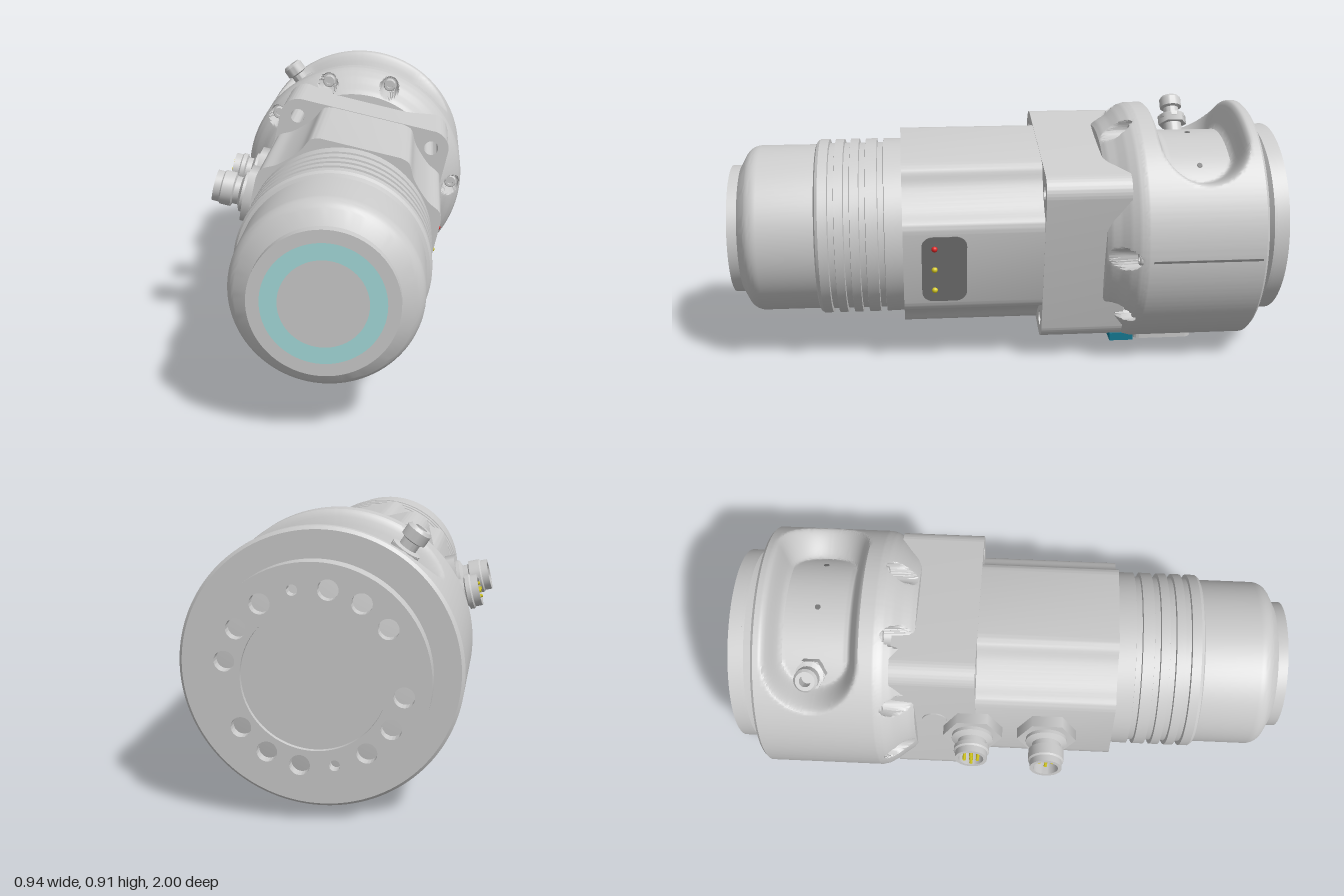
import * as THREE from 'three';
import { toCreasedNormals } from 'three/addons/utils/BufferGeometryUtils.js';

const DEG = Math.PI / 180, TILT = -13 * DEG;
const mat = (color = 0xcccccc) => new THREE.MeshStandardMaterial({ color });
const GREY = mat(), DARK = mat(0x777777), AQUA = mat(0xa5dddc), TEAL = mat(0x157a94);
const RED = mat(0xdd2222), YELLOW = mat(0xd8cc22);

function add(parent, name, geo, material = GREY, x = 0, y = 0, z = 0) {
  const m = new THREE.Mesh(geo, material);
  m.name = name;
  m.position.set(x, y, z);
  parent.add(m);
  return m;
}

// profile of [radius, height] from bottom to top, turned about y
const lathe = (pts, seg = 64) => toCreasedNormals(
  new THREE.LatheGeometry(pts.map(p => new THREE.Vector2(...p)), seg), 0.5);
const latheZ = (pts, seg = 96) => lathe(pts, seg).rotateX(Math.PI / 2);
const latheX = (pts, seg = 32) => lathe(pts, seg).rotateZ(-Math.PI / 2);
const extrude = (shape, depth) => toCreasedNormals(
  new THREE.ExtrudeGeometry(shape, { depth, bevelEnabled: false, curveSegments: 20 }), 0.5);

// group whose +x axis points outward at an angle round the main axis
function spoke(parent, name, angle, z) {
  const g = new THREE.Group();
  g.name = name;
  g.rotation.z = angle;
  g.position.z = z;
  parent.add(g);
  return g;
}

function circleHole(x, y, r) {
  const p = new THREE.Path();
  p.absarc(x, y, r, 0, Math.PI * 2, true);
  return p;
}

function roundedRect(w, h, r) {
  const s = new THREE.Shape(), a = w / 2 - r, b = h / 2 - r;
  s.absarc(a, b, r, 0, Math.PI / 2);
  s.absarc(-a, b, r, Math.PI / 2, Math.PI);
  s.absarc(-a, -b, r, Math.PI, Math.PI * 1.5);
  s.absarc(a, -b, r, Math.PI * 1.5, Math.PI * 2);
  s.closePath();
  return s;
}

// square body section with scooped corners
function bodyShape() {
  const corner = new THREE.SplineCurve([[.33, .14], [.317, .175], [.265, .205], [.205, .265], [.175, .317], [.14, .33]]
    .map(p => new THREE.Vector2(...p))).getPoints(24);
  const pts = [];
  for (let i = 0; i < 4; i++)
    for (const p of corner) pts.push(p.clone().rotateAround(new THREE.Vector2(), i * Math.PI / 2));
  return new THREE.Shape(pts);
}

const SCREWS = [69, 105, 141, 177, 248, 284, 320, 356].map(a => a * DEG);
const SCREW_R = 0.404;

// round head: a fine lathe with the top slot and screw pockets pressed in
function headGeometry() {
  const profile = [[.25, -.9], [.435, -.9], [.445, -.89], [.445, -.47], [.438, -.445], [.42, -.415],
    [.395, -.385], [.375, -.355], [.36, -.34], [.28, -.335]];
  const pts = [];
  profile.forEach(([r, z], i) => {
    if (i === 0) return pts.push(new THREE.Vector2(r, z));
    const [r0, z0] = profile[i - 1];
    const n = i === 1 ? 1 : Math.ceil(Math.hypot(r - r0, z - z0) / 0.008);
    for (let k = 1; k <= n; k++) pts.push(new THREE.Vector2(r0 + (r - r0) * k / n, z0 + (z - z0) * k / n));
  });
  const geo = new THREE.LatheGeometry(pts, 360).rotateX(Math.PI / 2);
  const p = geo.attributes.position;
  for (let i = 0; i < p.count; i++) {
    let x = p.getX(i), y = p.getY(i), z = p.getZ(i);
    const r = Math.hypot(x, y), a = Math.atan2(y, x);
    if (z < -.48 && z > -.895 && r > .4) {
      const s = Math.max(Math.abs(a - 87 * DEG) * .37 - .2, 0);
      const t = THREE.MathUtils.smoothstep(Math.hypot(s, z + .695), .115, .17);
      const k = (.337 + (r - .337) * t) / r;
      x *= k; y *= k;
    }
    if (z > -.475)
      for (const b of SCREWS) {
        const d = Math.hypot(x - SCREW_R * Math.cos(b), y - SCREW_R * Math.sin(b));
        if (d < .038) z = Math.min(z, THREE.MathUtils.lerp(-.47, z, THREE.MathUtils.smoothstep(d, .03, .038)));
      }
    p.setXYZ(i, x, y, z);
  }
  return toCreasedNormals(geo, 0.7);
}

function addConnector(parent, z, length) {
  const g = spoke(parent, 'connector', Math.PI + TILT, z);
  add(g, 'connectorNut', new THREE.CylinderGeometry(.108, .108, .045, 6).rotateZ(-Math.PI / 2), GREY, .35);
  add(g, 'connectorSocket', latheX([[.075, 0], [.075, .02], [.052, .03], [.052, .05], [.064, .055], [.064, length - .03],
    [.058, length - .025], [.058, length], [.045, length], [.045, .05], [0, .05]]), GREY, .365);
  for (let i = 0; i < 5; i++) {
    const r = i ? .024 : 0, a = i * Math.PI / 2;
    add(g, 'connectorPin', new THREE.CylinderGeometry(.006, .006, .06, 8).rotateZ(-Math.PI / 2), YELLOW,
      .44, r * Math.cos(a), r * Math.sin(a));
  }
}

export function createModel() {
  const model = new THREE.Group();
  model.name = 'toolSpindle';
  const axis = new THREE.Group();
  axis.name = 'axisAssembly';
  axis.position.set(.025, .465, 0);
  model.add(axis);
  const tilted = new THREE.Group();
  tilted.name = 'squareBody';
  tilted.rotation.z = TILT;
  axis.add(tilted);

  // front barrel with grooved rings and rounded nose
  const barrel = [[.323, .36]];
  for (const z of [.455, .52, .575, .63])
    barrel.push([.325, z - .012], [.31, z - .01], [.31, z + .01], [.325, z + .012]);
  barrel.push([.325, .675], [.318, .685], [.307, .69], [.307, .89]);
  for (let i = 1; i <= 8; i++) {
    const a = i * 7 * DEG;
    barrel.push([.247 + .06 * Math.cos(a), .89 + .06 * Math.sin(a)]);
  }
  barrel.push([.235, .965], [.235, 1], [0, 1]);
  add(axis, 'frontBarrel', latheZ(barrel));
  add(axis, 'lightRing', new THREE.RingGeometry(.14, .194, 96), AQUA, 0, 0, 1.0006);

  // square flange with bolt holes, then the scooped body
  const flange = roundedRect(.664, .664, .07);
  for (const x of [-.265, .265]) for (const y of [-.265, .265]) flange.holes.push(circleHole(x, y, .027));
  add(tilted, 'squareFlange', extrude(flange, .3), GREY, 0, 0, -.42);
  add(tilted, 'scoopedBody', extrude(bodyShape(), .51), GREY, 0, 0, -.13);

  // indicator panel on the left side
  add(tilted, 'indicatorPanel', extrude(roundedRect(.16, .265, .04), .01).rotateY(Math.PI / 2), DARK, .323, 0, .235);
  [RED, YELLOW, YELLOW].forEach((m, i) =>
    add(tilted, 'indicatorLamp', new THREE.SphereGeometry(.011, 12, 8), m, .333, .085 - i * .085, .27));

  // two sockets and a small plug on the right side
  addConnector(axis, .14, .125);
  addConnector(axis, -.13, .1);
  add(tilted, 'sidePlug', latheX([[.045, 0], [.045, .006], [0, .006]]), GREY, -.337, .04, -.27);

  // head and its screws
  add(axis, 'roundHead', headGeometry());
  for (const a of SCREWS)
    add(axis, 'headScrew', latheZ([[.024, 0], [.024, .025], [.021, .03], [.012, .03], [.012, .015], [0, .015]], 24),
      GREY, SCREW_R * Math.cos(a), SCREW_R * Math.sin(a), -.475);
  const seam = spoke(axis, 'headSeam', -4 * DEG, -.685);
  add(seam, 'seamLine', new THREE.BoxGeometry(.004, .008, .39), DARK, .4445);

  // air fitting and pin holes in the slot
  const fitting = spoke(axis, 'airFitting', 125 * DEG, -.695);
  add(fitting, 'fittingStem', latheX([[.035, .32], [.035, .39], [.05, .41], [.05, .425], [.03, .43], [.03, .455],
    [.042, .46], [.042, .495], [.034, .505], [.02, .505], [.02, .46], [0, .46]]));
  add(fitting, 'fittingHex', new THREE.CylinderGeometry(.056, .056, .035, 6).rotateZ(-Math.PI / 2), GREY, .405);
  for (const a of [50, 87]) {
    const pin = spoke(axis, 'slotPin', a * DEG, -.695);
    add(pin, 'pinHole', new THREE.CylinderGeometry(.01, .01, .006, 16).rotateZ(-Math.PI / 2), DARK, .336);
  }

  // bottom pad with two screws and a plain coloured plate
  const bottom = spoke(axis, 'bottomPad', 267 * DEG, 0);
  add(bottom, 'pad', extrude(roundedRect(.23, .22, .03), .06).rotateY(Math.PI / 2), GREY, .398, 0, -.615);
  for (const y of [-.06, .06])
    add(bottom, 'padScrew', latheX([[.02, 0], [.02, .006], [.01, .006], [.01, .001], [0, .001]], 20), GREY, .457, y, -.66);
  add(bottom, 'colourPlate', new THREE.BoxGeometry(.03, .28, .09), TEAL, .434, 0, -.448);

  // rear mounting plate: ring of holes round a shallow recess
  add(axis, 'rearNeck', latheZ([[0, -.965], [.33, -.965], [.355, -.955], [.355, -.945], [.322, -.92], [.322, -.88]]));
  const plate = new THREE.Shape();
  plate.absarc(0, 0, .355, 0, Math.PI * 2);
  plate.holes.push(circleHole(0, 0, .225));
  for (let i = 0; i < 16; i++) {
    if (i % 8 === 0) continue;
    const a = i * 22.5 * DEG;
    plate.holes.push(circleHole(.276 * Math.cos(a), .276 * Math.sin(a), i % 8 === 4 ? .017 : .032));
  }
  const plateGeo = toCreasedNormals(new THREE.ExtrudeGeometry(plate,
    { depth: .05, bevelEnabled: false, curveSegments: 40 }), 0.5);
  add(tilted, 'rearPlate', plateGeo, GREY, 0, 0, -1);
  add(axis, 'rearRecess', latheZ([[0, -.985], [.226, -.985], [.226, -.96]]));
  return model;
}
